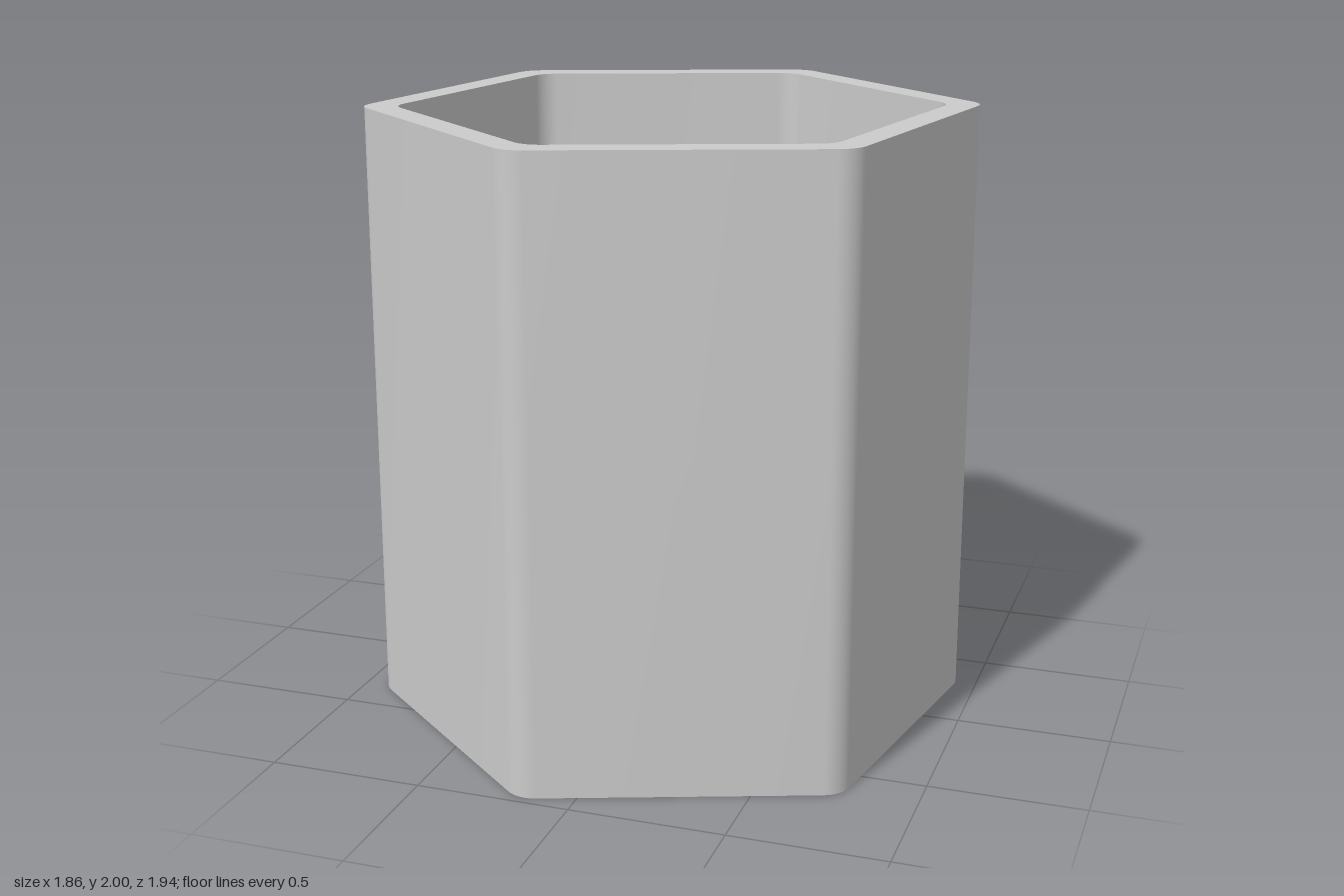
import * as THREE from 'three';
import { toCreasedNormals } from 'three/addons/utils/BufferGeometryUtils.js';

const TILT = THREE.MathUtils.degToRad(20); // turn of the first corner from +x
const CORNER_STEPS = 8;
const HEIGHT = 2;
const FLOOR = 0.1;

// Rounded hexagon at height y, counter-clockwise from above
function hexLoop(apothem, radius, y) {
  const points = [];
  const reach = (apothem - radius) / Math.cos(Math.PI / 6);
  for (let k = 0; k < 6; k++) {
    const corner = TILT + (k * Math.PI) / 3;
    for (let s = 0; s <= CORNER_STEPS; s++) {
      const a = corner + (s / CORNER_STEPS - 0.5) * (Math.PI / 3);
      points.push([
        reach * Math.cos(corner) + radius * Math.cos(a),
        y,
        -reach * Math.sin(corner) - radius * Math.sin(a),
      ]);
    }
  }
  return points;
}

// Joins successive loops into one closed skin
function skin(loops) {
  const n = loops[0].length;
  const positions = loops.flat(2);
  const index = [];
  for (let i = 0; i < loops.length - 1; i++) {
    for (let j = 0; j < n; j++) {
      const a = i * n + j;
      const b = i * n + ((j + 1) % n);
      if (i > 0) index.push(a, b, b + n);
      if (i < loops.length - 2) index.push(a, b + n, a + n);
    }
  }
  const geometry = new THREE.BufferGeometry();
  geometry.setAttribute('position', new THREE.Float32BufferAttribute(positions, 3));
  geometry.setIndex(index);
  return toCreasedNormals(geometry, Math.PI / 6);
}

export function createModel() {
  const group = new THREE.Group();
  group.name = 'hexagonalCup';

  // Underside, outer wall, rim, inner wall and floor
  const cup = new THREE.Mesh(
    skin([
      hexLoop(0, 0, 0),
      hexLoop(0.865, 0.1, 0),
      hexLoop(0.865, 0.1, HEIGHT),
      hexLoop(0.77, 0.09, HEIGHT),
      hexLoop(0.77, 0.09, FLOOR),
      hexLoop(0, 0, FLOOR),
    ]),
    new THREE.MeshStandardMaterial({ color: 0xcccccc })
  );
  cup.name = 'cup';
  group.add(cup);

  return group;
}
